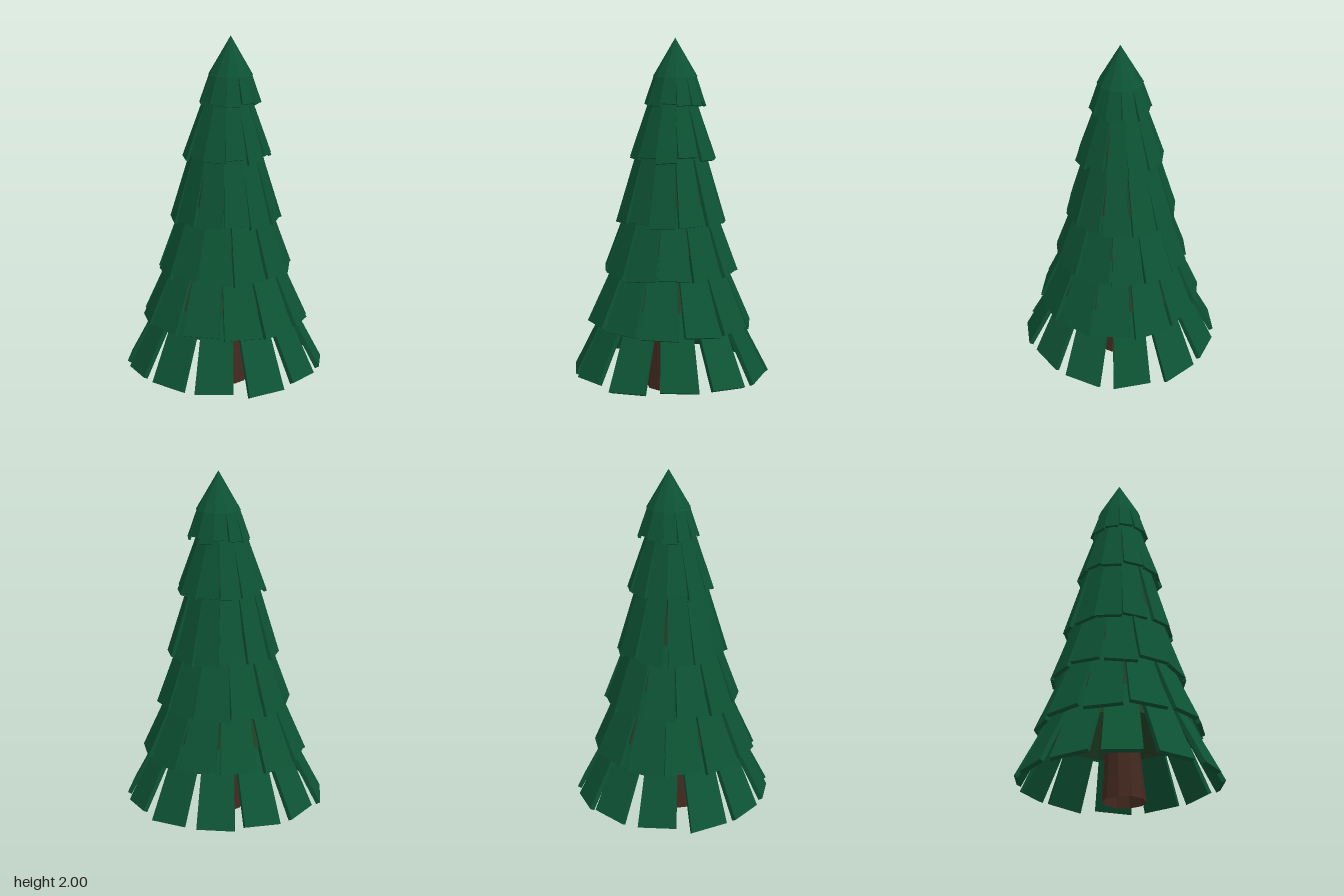
import * as THREE from 'three';

const PLANKS = 12;
const STEP = (Math.PI * 2) / PLANKS;
const CORNER = 1 / Math.cos(STEP / 2);

const mat = (color, side = THREE.FrontSide) =>
  new THREE.MeshStandardMaterial({ color, side, flatShading: true });

// Small repeatable variation in -1..1
let seed = 7;
function vary() {
  seed = (seed * 16807) % 2147483647;
  return (seed / 2147483647) * 2 - 1;
}

// Flat tapered plank hanging from its top edge, outer face on z = 0
function plankGeometry(topWidth, tipWidth, length, thick) {
  const g = new THREE.BoxGeometry(1, 1, thick);
  g.translate(0, -0.5, -thick / 2);
  const p = g.attributes.position;
  const skew = vary() * 0.05 * tipWidth;
  for (let i = 0; i < p.count; i++) {
    const t = -p.getY(i);
    const side = p.getX(i) * 2;
    p.setX(i, side * 0.5 * THREE.MathUtils.lerp(topWidth, tipWidth, t));
    p.setY(i, -t * (length + side * skew));
  }
  g.computeVertexNormals();
  return g;
}

// One ring of planks around a hollow tapered core
function makeTier(t, leaf, inner) {
  const tier = new THREE.Group();
  tier.position.set(t.x, 0, t.z);
  const slope = Math.atan2(t.tipR - t.topR, t.topY - t.tipY);
  const length = Math.hypot(t.tipR - t.topR, t.topY - t.tipY);
  for (let i = 0; i < PLANKS; i++) {
    const a = t.turn + i * STEP + vary() * 0.012;
    const plank = new THREE.Mesh(
      plankGeometry(t.topW, t.tipW, length + vary() * 0.015, t.thick), leaf);
    plank.name = 'branchPlank';
    plank.rotation.order = 'YXZ';
    plank.rotation.set(-slope + vary() * 0.015, a, vary() * 0.02);
    plank.position.set(Math.sin(a) * t.topR, t.topY, Math.cos(a) * t.topR);
    tier.add(plank);
  }
  // Core stops part way down so that the tips hang free
  const rimR = THREE.MathUtils.lerp(t.topR, t.tipR, t.rim);
  const h = (t.topY - t.tipY) * t.rim;
  const core = new THREE.Mesh(
    new THREE.CylinderGeometry((t.topR - t.inset) * CORNER, (rimR - t.inset) * CORNER, h, PLANKS, 1, true), inner);
  core.name = 'tierCore';
  core.position.y = t.topY - h / 2;
  core.rotation.y = t.turn + STEP / 2;
  tier.add(core);
  return tier;
}

export function createModel() {
  const tree = new THREE.Group();
  tree.name = 'pineTree';
  const leaf = mat(0x0d5334);
  const inner = mat(0x223f26, THREE.DoubleSide);

  // Hollow trunk tapering upwards, its foot set slightly forward
  const trunkGeo = new THREE.CylinderGeometry(0.035, 0.12, 1, 10, 1, true);
  trunkGeo.translate(0, 0.5, 0);
  const tp = trunkGeo.attributes.position;
  for (let i = 0; i < tp.count; i++) tp.setZ(i, tp.getZ(i) + 0.03 * (1 - tp.getY(i)));
  trunkGeo.computeVertexNormals();
  const trunk = new THREE.Mesh(trunkGeo, mat(0x43291f, THREE.DoubleSide));
  trunk.name = 'trunk';
  tree.add(trunk);

  // Tiers from the ground up
  const tiers = [
    { tipR: 0.555, tipY: 0.11, topR: 0.28, topY: 0.64, topW: 0.155, tipW: 0.213, thick: 0.025, turn: 0, rim: 0.52, inset: 0.035, x: 0, z: 0 },
    { tipR: 0.46, tipY: 0.39, topR: 0.235, topY: 0.9, topW: 0.132, tipW: 0.208, thick: 0.024, turn: -0.22, rim: 0.75, inset: 0.018, x: 0, z: 0 },
    { tipR: 0.372, tipY: 0.69, topR: 0.19, topY: 1.2, topW: 0.107, tipW: 0.18, thick: 0.022, turn: -0.04, rim: 0.75, inset: 0.016, x: 0.005, z: 0 },
    { tipR: 0.305, tipY: 0.975, topR: 0.15, topY: 1.5, topW: 0.085, tipW: 0.143, thick: 0.02, turn: -0.22, rim: 0.8, inset: 0.014, x: 0.008, z: 0 },
    { tipR: 0.24, tipY: 1.335, topR: 0.1, topY: 1.74, topW: 0.06, tipW: 0.117, thick: 0.018, turn: -0.22, rim: 0.8, inset: 0.012, x: 0.018, z: 0.003 },
    { tipR: 0.167, tipY: 1.635, topR: 0.111, topY: 1.805, topW: 0.06, tipW: 0.079, thick: 0.015, turn: 0.2, rim: 0.5, inset: 0.01, x: 0.035, z: 0.006 },
  ];
  tiers.forEach((t, i) => {
    const tier = makeTier(t, leaf, inner);
    tier.name = 'branchTier' + (i + 1);
    tree.add(tier);
  });

  // Pointed cap flowing into the top ring
  const cap = new THREE.Mesh(
    new THREE.ConeGeometry(0.122 * CORNER, 0.215, PLANKS, 1, true),
    mat(0x0d5334, THREE.DoubleSide));
  cap.name = 'treeTop';
  cap.position.set(0.036, 1.8925, 0.006);
  cap.rotation.y = 0.2 + STEP / 2;
  tree.add(cap);

  return tree;
}
